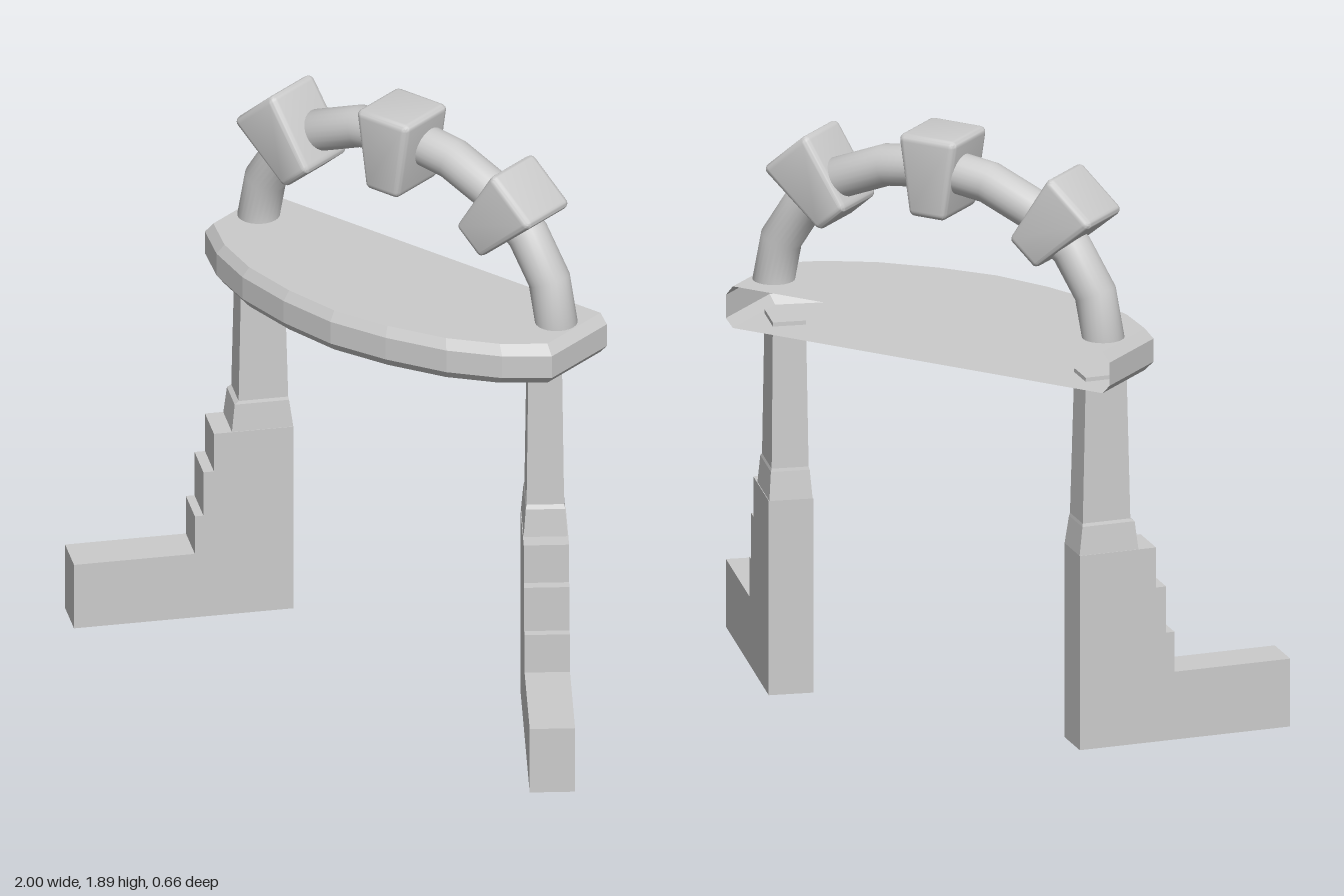
import * as THREE from 'three';
import { RoundedBoxGeometry } from 'three/addons/geometries/RoundedBoxGeometry.js';
import { toCreasedNormals } from 'three/addons/utils/BufferGeometryUtils.js';

const grey = new THREE.MeshStandardMaterial({ color: 0xcccccc });
const shell = new THREE.MeshStandardMaterial({ color: 0xcccccc, side: THREE.DoubleSide, flatShading: true });

function add(parent, name, geometry, material = grey) {
  const mesh = new THREE.Mesh(geometry, material);
  mesh.name = name;
  parent.add(mesh);
  return mesh;
}

// Bowed shelf: bevelled rim with top and bottom sheets, open at the straight back
function shelfGeometry() {
  const half = [[0.68, -0.33], [0.68, -0.055], [0.56, 0.04], [0.4, 0.115], [0.2, 0.163]];
  const outline = [...half, [0, 0.184], ...half.map(([x, z]) => [-x, z]).reverse()];
  const levels = [[1.187, 0.963], [1.215, 1], [1.29, 1], [1.322, 0.963]];
  const rings = levels.map(([y, s]) => outline.map(([x, z]) => [x * s, y, -0.33 + (z + 0.33) * s]));
  const pos = [];
  const tri = (a, b, c) => pos.push(...a, ...b, ...c);
  const n = outline.length;
  for (let k = 0; k < 3; k++) {
    for (let i = 0; i < n - 1; i++) {
      const a = rings[k][i], b = rings[k][i + 1], c = rings[k + 1][i], d = rings[k + 1][i + 1];
      tri(a, c, b);
      tri(b, c, d);
    }
  }
  for (let i = 1; i < n - 1; i++) {
    tri(rings[3][0], rings[3][i + 1], rings[3][i]);
    tri(rings[0][0], rings[0][i], rings[0][i + 1]);
  }
  const g = new THREE.BufferGeometry();
  g.setAttribute('position', new THREE.Float32BufferAttribute(pos, 3));
  g.computeVertexNormals();
  return g;
}

// Stepped foot: side outline extruded to the plate thickness
function footGeometry() {
  const outline = [[0, 0], [0.69, 0], [0.69, 0.22], [0.31, 0.22], [0.31, 0.35], [0.283, 0.35],
    [0.283, 0.5], [0.25, 0.5], [0.25, 0.63], [0, 0.63]];
  const shape = new THREE.Shape(outline.map(([x, y]) => new THREE.Vector2(x, y)));
  return new THREE.ExtrudeGeometry(shape, { depth: 0.14, bevelEnabled: false }).translate(0, 0, -0.07);
}

// Tapering post: box rows moved to sections of [height, inner end, outer end, half thickness]
function postGeometry() {
  const rows = [[0.63, 0, 0.193, 0.068], [0.72, 0.012, 0.183, 0.061], [0.73, 0.014, 0.17, 0.058], [1.2, 0.026, 0.16, 0.052]];
  const box = new THREE.BoxGeometry(1, 3, 1, 1, 3, 1);
  const p = box.attributes.position;
  for (let i = 0; i < p.count; i++) {
    const [y, inner, outer, h] = rows[Math.round(p.getY(i) + 1.5)];
    p.setXYZ(i, p.getX(i) < 0 ? inner : outer, y, Math.sign(p.getZ(i)) * h);
  }
  const g = box.toNonIndexed();
  g.computeVertexNormals();
  return g;
}

// Wedge block: rounded box narrowed towards its lower end
function wedgeGeometry() {
  const g = new RoundedBoxGeometry(0.205, 0.262, 0.214, 3, 0.022);
  const p = g.attributes.position;
  for (let i = 0; i < p.count; i++) {
    const t = p.getY(i) / 0.262 + 0.5;
    p.setX(i, p.getX(i) * (0.6 + 0.4 * t));
  }
  return toCreasedNormals(g, 0.6);
}

// Half-elliptical arch made of straight segments
class ArchCurve extends THREE.Curve {
  getPoint(t, target = new THREE.Vector3()) {
    const a = Math.PI * t;
    return target.set(0.585 * Math.cos(a), 1.315 + 0.465 * Math.sin(a), -0.2);
  }
  getPointAt(t, target) { return this.getPoint(t, target); }
  getTangentAt(t, target) { return this.getTangent(t, target); }
}

export function createModel() {
  const model = new THREE.Group();
  model.name = 'archedStand';

  add(model, 'shelf', shelfGeometry(), shell);
  add(model, 'arch', new THREE.TubeGeometry(new ArchCurve(), 10, 0.066, 24, false),
    new THREE.MeshStandardMaterial({ color: 0xcccccc, side: THREE.DoubleSide }));

  // Keystone and its two neighbours
  const wedge = wedgeGeometry();
  for (const side of [-1, 0, 1]) {
    const block = add(model, side ? 'sideWedge' : 'keystone', wedge);
    block.position.set(side * 0.422, side ? 1.668 : 1.761, -0.173);
    block.rotation.z = -side * 0.72;
  }

  // Splayed legs
  const foot = footGeometry(), post = postGeometry();
  const splay = Math.atan2(0.76, 0.65);
  for (const side of [1, -1]) {
    const leg = new THREE.Group();
    leg.name = side > 0 ? 'leftLeg' : 'rightLeg';
    add(leg, 'steppedFoot', foot);
    add(leg, 'post', post);
    leg.position.set(side * 0.498, 0, -0.243);
    leg.rotation.y = side > 0 ? -splay : splay - Math.PI;
    model.add(leg);
  }
  return model;
}
